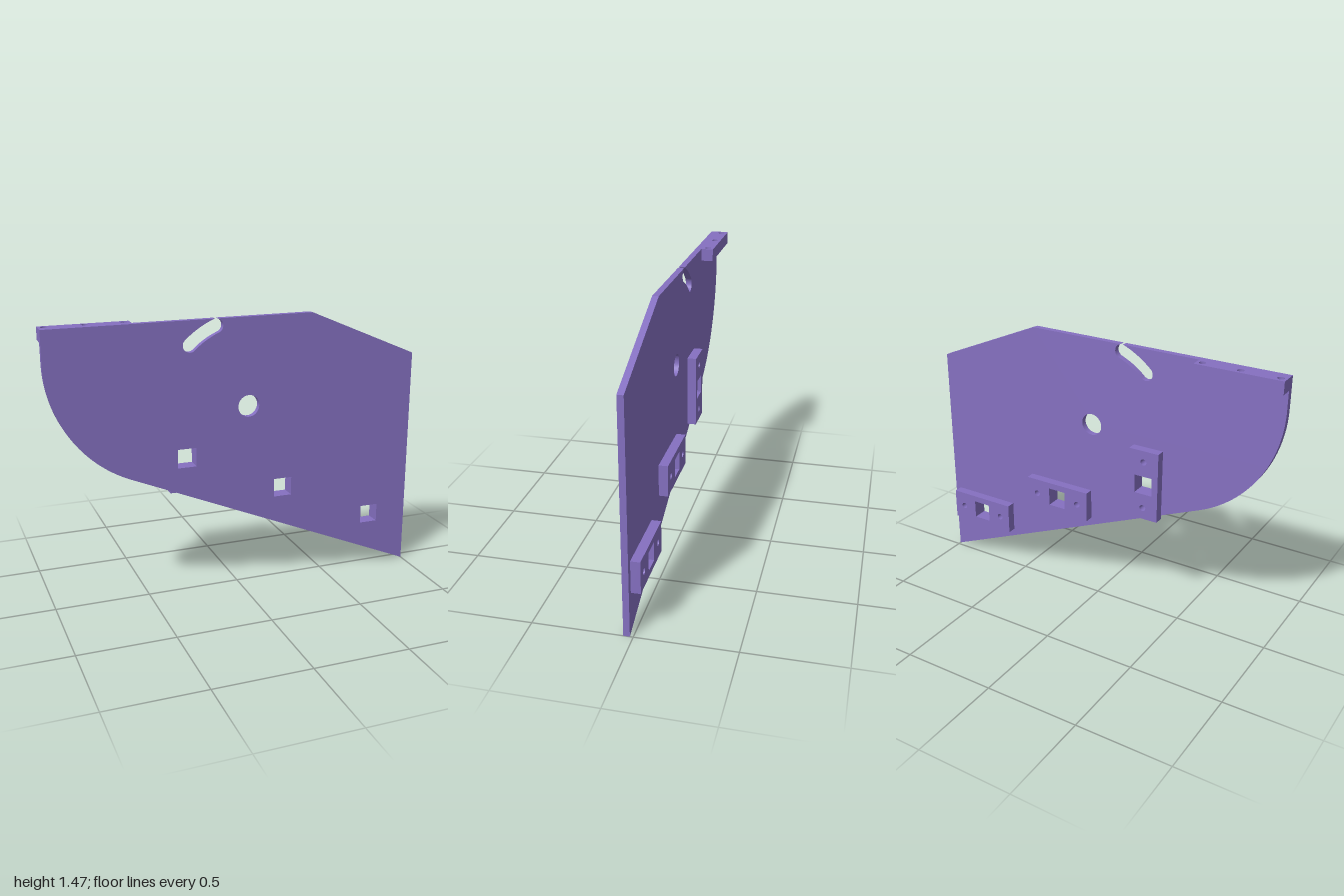
import * as THREE from 'three';

const rad = THREE.MathUtils.degToRad;
const TOP = 1.465, BACK = 0.016, FRONT = 0.048;
const purple = new THREE.MeshStandardMaterial({ color: 0x8570c1 });
purple.name = 'purple';

function circleHole(x, y, r) {
  return new THREE.Path().absarc(x, y, r, 0, Math.PI * 2, true);
}

function rectangle(w, h, Type = THREE.Shape) {
  const p = new Type();
  p.moveTo(-w / 2, -h / 2).lineTo(w / 2, -h / 2).lineTo(w / 2, h / 2).lineTo(-w / 2, h / 2);
  p.closePath();
  return p;
}

function extrude(shape, depth, name) {
  const geometry = new THREE.ExtrudeGeometry(shape, { depth, bevelEnabled: false, curveSegments: 32 });
  const mesh = new THREE.Mesh(geometry, purple);
  mesh.name = name;
  return mesh;
}

// Square holes shared by the plate and its rear blocks
const mounts = [
  { x: -0.29, y: 0.755, upright: true },
  { x: 0.245, y: 0.531, upright: false },
  { x: 0.775, y: 0.304, upright: false },
];

function createPlate() {
  const px = 0.048, py = 1.0;            // pivot hole
  const R = 0.463, r = 0.037, gap = 0.006; // curved slot around the pivot
  const endY = TOP - Math.sqrt(r * r - gap * gap);
  const a1 = Math.PI - Math.asin((endY - py) / R), a2 = rad(132.8);
  const x1 = px + R * Math.cos(a1), x2 = px + R * Math.cos(a2), y2 = py + R * Math.sin(a2);
  const open = Math.acos(gap / r);

  const s = new THREE.Shape();
  s.moveTo(1, 0).lineTo(1, 1.21).lineTo(0.4, TOP).lineTo(x1 + gap, TOP);
  // Slot, just breaking through the top edge
  s.absarc(x1, endY, r, open, a1 - Math.PI, true);
  s.absarc(px, py, R - r, a1, a2, false);
  s.absarc(x2, y2, r, a2 + Math.PI, a2, true);
  s.absarc(px, py, R + r, a2, a1, true);
  s.absarc(x1, endY, r, a1, Math.PI - open, true);
  s.lineTo(-1, TOP);
  // Rounded lower corner, tangent to the side and the sloping edge
  s.absarc(-0.32, 1.30, 0.68, Math.PI, rad(247), false);
  s.closePath();

  s.holes.push(circleHole(px, py, 0.058));
  for (const { x, y } of mounts) {
    const hole = new THREE.Path();
    hole.setFromPoints(rectangle(0.1, 0.1).getPoints().map((p) => p.add(new THREE.Vector2(x, y))).reverse());
    s.holes.push(hole);
  }
  const plate = extrude(s, FRONT - BACK, 'sidePlate');
  plate.position.z = BACK;
  return plate;
}

// Block with a square opening and two screw holes
function createBlock({ x, y, upright }, i) {
  const s = rectangle(0.385, 0.168);
  s.holes.push(rectangle(0.1, 0.1, THREE.Path), circleHole(-0.13, 0, 0.017), circleHole(0.13, 0, 0.017));
  const block = extrude(s, 0.048, `mountingBlock${i + 1}`);
  block.position.set(x, y, BACK - 0.048);
  if (upright) block.rotation.z = Math.PI / 2;
  return block;
}

// Top rail with three blind screw holes
function createRail() {
  const rail = new THREE.Group();
  rail.name = 'topRail';
  const w = 0.45, d = 0.064, floor = 0.015, h = 0.065;
  const s = rectangle(w, d);
  for (const x of [-0.194, 0, 0.194]) s.holes.push(circleHole(x, 0, 0.017));
  const upper = extrude(s, h - floor, 'drilledRail');
  upper.rotation.x = -Math.PI / 2;
  upper.position.y = floor;
  const base = new THREE.Mesh(new THREE.BoxGeometry(w, floor, d), purple);
  base.name = 'railBase';
  base.position.y = floor / 2;
  rail.add(upper, base);
  rail.position.set(-1 + w / 2, TOP - h, BACK - d / 2);
  return rail;
}

export function createModel() {
  const model = new THREE.Group();
  model.name = 'mountingSidePlate';
  model.add(createPlate(), ...mounts.map(createBlock), createRail());
  return model;
}
